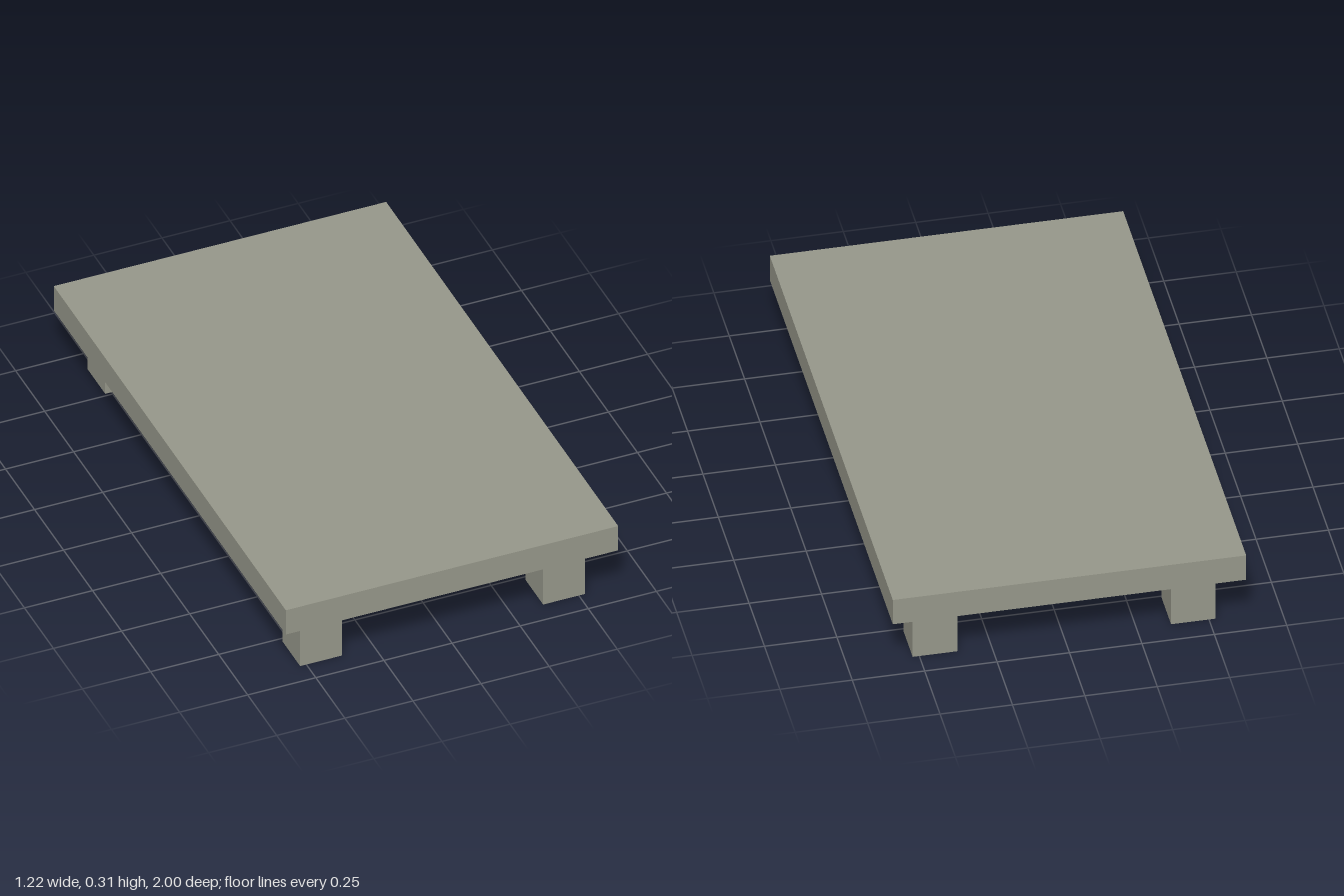
import * as THREE from 'three';

const material = new THREE.MeshStandardMaterial({ color: 0x96978a, flatShading: true });

function part(name, geometry, parent) {
  const mesh = new THREE.Mesh(geometry, material);
  mesh.name = name;
  parent.add(mesh);
  return mesh;
}

// closed rectangle path, usable as outline or hole
function rectangle(PathType, halfX, halfZ) {
  const path = new PathType();
  path.moveTo(-halfX, -halfZ);
  path.lineTo(halfX, -halfZ);
  path.lineTo(halfX, halfZ);
  path.lineTo(-halfX, halfZ);
  path.closePath();
  return path;
}

export function createModel() {
  const group = new THREE.Group();
  group.name = 'lowTable';

  const halfX = 0.61, halfZ = 1, top = 0.315, under = 0.213, panelUnder = 0.25, rim = 0.1;

  // table top panel
  part('topPanel', new THREE.BoxGeometry(halfX * 2, top - panelUnder, halfZ * 2), group)
    .position.y = (top + panelUnder) / 2;

  // rim below the panel, leaving a shallow recess
  const outline = rectangle(THREE.Shape, halfX, halfZ);
  outline.holes.push(rectangle(THREE.Path, halfX - rim, halfZ - rim));
  const rimGeometry = new THREE.ExtrudeGeometry(outline, { depth: panelUnder - under, bevelEnabled: false });
  rimGeometry.rotateX(-Math.PI / 2);
  part('rim', rimGeometry, group).position.y = under;

  // four legs, each with a slanted brace toward the middle
  const braceProfile = new THREE.Shape([
    new THREE.Vector2(0, 0.082),
    new THREE.Vector2(0, under + 0.002),
    new THREE.Vector2(-0.115, under + 0.002),
  ]);
  for (const [endName, end, zCentre] of [['front', 1, 0.843], ['back', -1, -0.837]]) {
    for (const [sideName, side] of [['Left', 1], ['Right', -1]]) {
      const leg = new THREE.Group();
      leg.name = `${endName}${sideName}Leg`;
      leg.position.set(side * 0.446, 0, zCentre);
      // half turn points the back braces the other way
      leg.rotation.y = end > 0 ? 0 : Math.PI;
      group.add(leg);

      part('post', new THREE.BoxGeometry(0.154, panelUnder, 0.152), leg).position.y = panelUnder / 2;

      const brace = new THREE.ExtrudeGeometry(braceProfile, { depth: 0.16, bevelEnabled: false });
      brace.translate(0, 0, -0.08);
      brace.rotateY(-Math.PI / 2);
      part('brace', brace, leg).position.z = -0.074;
    }
  }

  return group;
}
